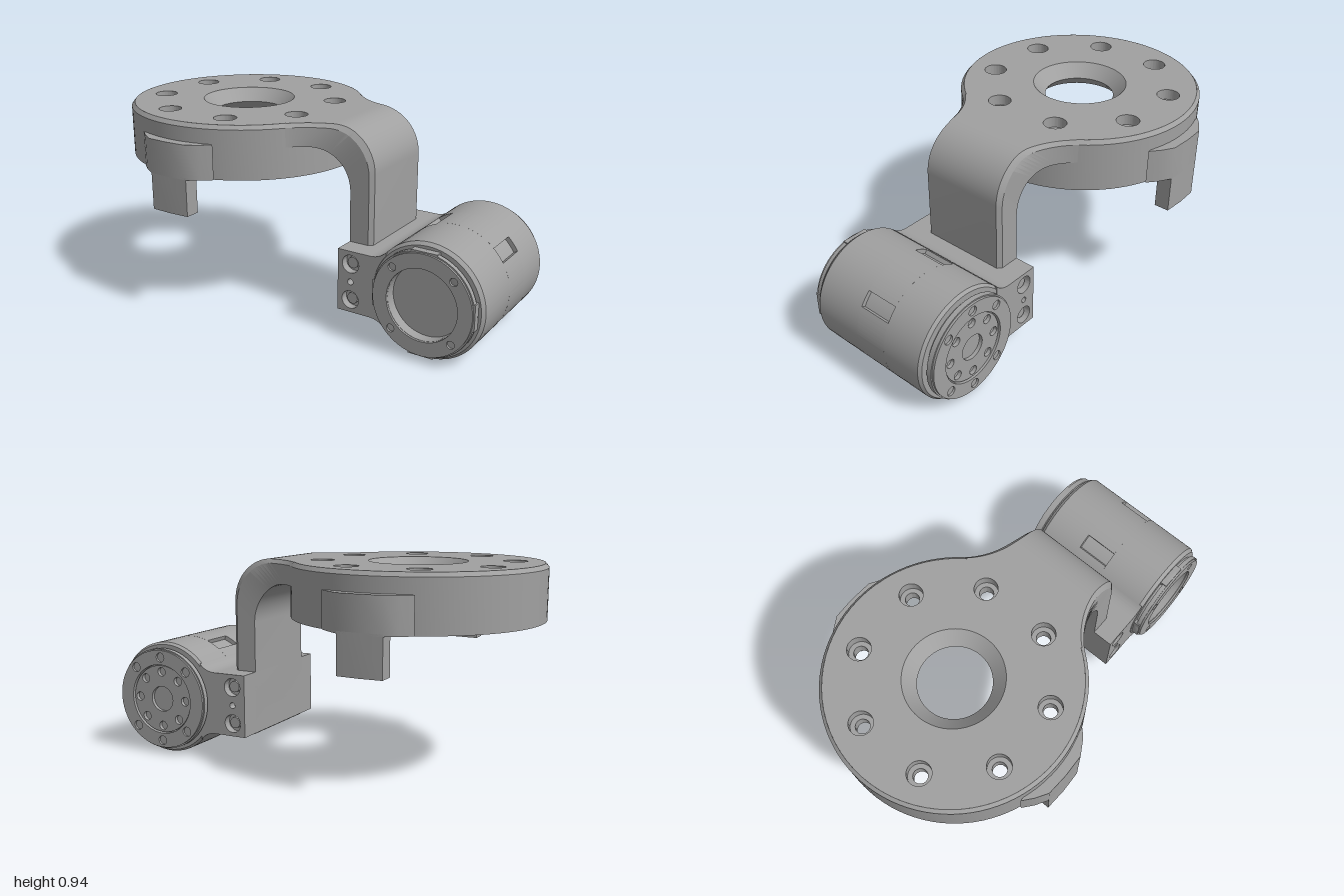
import * as THREE from 'three';
import { toCreasedNormals } from 'three/addons/utils/BufferGeometryUtils.js';

const metal = new THREE.MeshStandardMaterial({ color: 0xa0a0a0, side: THREE.DoubleSide });
metal.name = 'grey metal';

const DISC_R = 0.56, TOP = 0.935, FLOOR = 0.83;   // mounting disc
const AXLE_Y = 0.265, AXLE_Z = 1.145;             // motor axis, parallel to x
const deg = Math.PI / 180;

function add(parent, name, geometry) {
  const mesh = new THREE.Mesh(toCreasedNormals(geometry, 0.5), metal);
  mesh.name = name;
  parent.add(mesh);
  return mesh;
}

const lathe = (points, segments = 72) =>
  new THREE.LatheGeometry(points.map(([r, h]) => new THREE.Vector2(r, h)), segments);

const extrude = (shape, depth) =>
  new THREE.ExtrudeGeometry(shape, { depth, bevelEnabled: false, curveSegments: 36 });

// Shape drawn as (x, -z), raised from y0 to y1
const extrudeY = (shape, y0, y1) => extrude(shape, y1 - y0).rotateX(-Math.PI / 2).translate(0, y0, 0);

// Shape drawn as (-z, y), pushed from x0 to x1
const extrudeX = (shape, x0, x1) => extrude(shape, x1 - x0).rotateY(Math.PI / 2).translate(x0, 0, 0);

function circleHole(shape, x, y, r) {
  shape.holes.push(new THREE.Path().absarc(x, y, r, 0, Math.PI * 2, true));
}

// Round plate with a centre hole and bolt holes at the given angles
function drilledDisc(outer, inner, boltRadius, holeRadius, angles) {
  const shape = new THREE.Shape().absarc(0, 0, outer, 0, Math.PI * 2, false);
  if (inner) circleHole(shape, 0, 0, inner);
  for (const a of angles) {
    circleHole(shape, boltRadius * Math.cos(a * deg), boltRadius * Math.sin(a * deg), holeRadius);
  }
  return shape;
}

const ring8 = (start) => Array.from({ length: 8 }, (_, i) => start + i * 45);

function makeDisc() {
  const disc = new THREE.Group();
  disc.name = 'mountingDisc';
  // Two drilled layers form the counterbored bolt holes
  add(disc, 'discTop', extrudeY(drilledDisc(0.545, 0.218, 0.42, 0.052, ring8(22.5)), 0.885, TOP));
  add(disc, 'discFloor', extrudeY(drilledDisc(0.51, 0.2, 0.42, 0.031, ring8(22.5)), FLOOR, 0.885));
  add(disc, 'centreBore', lathe([[0.2, FLOOR], [0.16, 0.875], [0.218, TOP]]));
  add(disc, 'skirt', lathe([[0.5, FLOOR], [0.5, 0.72], [0.53, 0.72], [0.53, 0.69], [DISC_R, 0.69],
    [DISC_R, 0.917], [0.545, TOP]], 96));

  // Two hanging tabs, each with a flared root on the skirt
  const half = [[0.605, 0], [0.6, 0.1], [0.567, 0.155], [0.53, 0.2]];
  const root = half.concat([[0.53, -0.2], [0.567, -0.155], [0.6, -0.1]]);
  const blade = [[0.605, 0], [0.6, 0.1], [0.53, 0.1], [0.535, 0], [0.53, -0.1], [0.6, -0.1]];
  const polygon = (pts) => new THREE.Shape(pts.map(([x, y]) => new THREE.Vector2(x, y)));
  for (const turn of [0, Math.PI]) {
    const tab = new THREE.Group();
    tab.name = turn ? 'rightTab' : 'leftTab';
    add(tab, 'tabRoot', extrudeY(polygon(root), 0.69, 0.85));
    add(tab, 'tabBlade', extrudeY(polygon(blade), 0.52, 0.7));
    tab.rotation.y = turn;
    disc.add(tab);
  }
  return disc;
}

// Half width of the arm: a concave fillet running from the disc into a straight neck
function armHalfWidth(z) {
  const R = 0.369, end = 0.718;
  return z >= end ? 0.218 : 0.218 + R - Math.sqrt(Math.max(0, R * R - (end - z) ** 2));
}

// Arm lofted through chamfered sections, bending from the disc down to the motor
function makeArm() {
  const stations = [];
  const start = 0.443;
  for (let i = 0; i <= 8; i++) {
    const t = i / 8;
    stations.push([start + t * 0.18, TOP, start + t * 0.077, FLOOR]);
  }
  for (let i = 1; i <= 16; i++) {
    const a = (i / 16) * Math.PI / 2, s = Math.sin(a), c = Math.cos(a);
    stations.push([0.623 + 0.2 * s, 0.735 + 0.2 * c, 0.52 + 0.19 * s, 0.64 + 0.19 * c]);
  }
  stations.push([0.823, 0.13, 0.71, 0.13]);

  const positions = [], index = [];
  for (const [zo, yo, zi, yi] of stations) {
    const wo = armHalfWidth(zo), wi = armHalfWidth(zi);
    const zc = zo + (zi - zo) * 0.17, yc = yo + (yi - yo) * 0.17, wc = armHalfWidth(zc);
    positions.push(-wo + 0.017, yo, zo, wo - 0.017, yo, zo, wc, yc, zc,
      wi, yi, zi, -wi, yi, zi, -wc, yc, zc);
  }
  for (let i = 0; i < stations.length - 1; i++) {
    for (let j = 0; j < 6; j++) {
      const a = i * 6 + j, b = i * 6 + (j + 1) % 6;
      index.push(a, a + 6, b, b, a + 6, b + 6);
    }
  }
  const last = (stations.length - 1) * 6;
  for (let j = 1; j < 5; j++) index.push(last, last + j + 1, last + j);
  const geometry = new THREE.BufferGeometry();
  geometry.setAttribute('position', new THREE.Float32BufferAttribute(positions, 3));
  geometry.setIndex(index);
  geometry.computeVertexNormals();
  return geometry;
}

// Housing block behind the motor, drawn as (-z, y)
function blockShape() {
  const s = new THREE.Shape();
  s.moveTo(-0.71, 0.12);
  s.lineTo(-0.71, 0.41);
  s.lineTo(-0.87, 0.41);
  s.quadraticCurveTo(-0.92, 0.41, -0.95, 0.445);
  s.lineTo(-0.95, 0.085);
  s.quadraticCurveTo(-0.92, 0.12, -0.87, 0.12);
  s.closePath();
  return s;
}

function makeMotor() {
  const motor = new THREE.Group();
  motor.name = 'motor';

  // Clamp block with drilled end plates
  add(motor, 'clampBlock', extrudeX(blockShape(), -0.28, 0.28));
  for (const side of [-1, 1]) {
    const plate = blockShape();
    circleHole(plate, -0.775, 0.35, 0.042);
    circleHole(plate, -0.775, 0.18, 0.042);
    circleHole(plate, -0.775, 0.265, 0.014);
    add(motor, 'clampEndPlate', extrudeX(plate, side > 0 ? 0.28 : -0.317, side > 0 ? 0.317 : -0.28));
    // Screw heads inside the two large holes
    for (const y of [0.18, 0.35]) {
      const head = add(motor, 'clampScrew', new THREE.CylinderGeometry(0.026, 0.026, 0.02, 20).rotateZ(Math.PI / 2));
      head.position.set(side * 0.288, y, 0.775);
    }
  }
  const pad = add(motor, 'undersidePad', new THREE.BoxGeometry(0.44, 0.008, 0.16));
  pad.position.set(0, 0.117, 0.8);

  const drum = new THREE.Group();
  drum.name = 'drum';
  drum.position.set(0, AXLE_Y, AXLE_Z);
  motor.add(drum);

  // Turned body, with a waist that becomes the floor of the side windows
  add(drum, 'drumBody', lathe([[0, -0.3], [0.165, -0.3], [0.165, -0.35], [0.172, -0.352], [0.238, -0.352],
    [0.24, -0.348], [0.24, -0.332], [0.225, -0.332], [0.225, -0.32], [0.252, -0.32], [0.265, -0.303],
    [0.265, -0.058], [0.245, -0.058], [0.245, 0.102], [0.265, 0.102], [0.265, 0.3], [0.255, 0.314],
    [0.225, 0.314], [0.225, 0.326], [0.24, 0.326], [0.24, 0.35], [0.232, 0.35], [0.165, 0.35],
    [0.165, 0.335], [0, 0.335]]).rotateZ(-Math.PI / 2));

  // Middle band, left open at the four windows
  const windows = [62, 141, 219, 298], gap = 8;
  windows.forEach((angle, i) => {
    const from = (angle + gap) * deg;
    const to = ((windows[i + 1] ?? windows[0] + 360) - gap) * deg;
    const sector = new THREE.Shape();
    sector.absarc(0, 0, 0.265, from, to, false);
    sector.absarc(0, 0, 0.24, to, from, true);
    sector.closePath();
    add(drum, 'drumBand', extrudeX(sector, -0.058, 0.102));
  });

  // Output end: bolted rim and drilled hub
  const rimBolts = [45, 90, 135, 225, 270, 315];
  add(drum, 'outputRim', extrudeX(drilledDisc(0.234, 0.165, 0.2, 0.022, rimBolts), 0.35, 0.36));
  add(drum, 'outputHub', extrudeX(drilledDisc(0.16, 0.06, 0.13, 0.021, ring8(0)), 0.335, 0.352));

  // Open end: bolted rim and keys bridging the groove
  add(drum, 'openRim', extrudeX(drilledDisc(0.232, 0.165, 0.2, 0.018, [45, 135, 225, 315]), -0.362, -0.352));
  for (const a of [0, 90, 180, 270]) {
    const key = new THREE.BoxGeometry(0.035, 0.02, 0.12).translate(-0.335, 0.228, 0).rotateX(a * deg);
    add(drum, 'rimKey', key);
  }
  return motor;
}

export function createModel() {
  const model = new THREE.Group();
  model.name = 'motorBracket';
  const assembly = new THREE.Group();
  assembly.name = 'bracketAssembly';
  assembly.add(makeDisc());
  add(assembly, 'arm', makeArm());
  assembly.add(makeMotor());
  // The arm points forward and slightly to the left
  assembly.rotation.y = 20 * deg;
  assembly.position.set(-0.11, 0, -0.44);
  model.add(assembly);
  return model;
}
